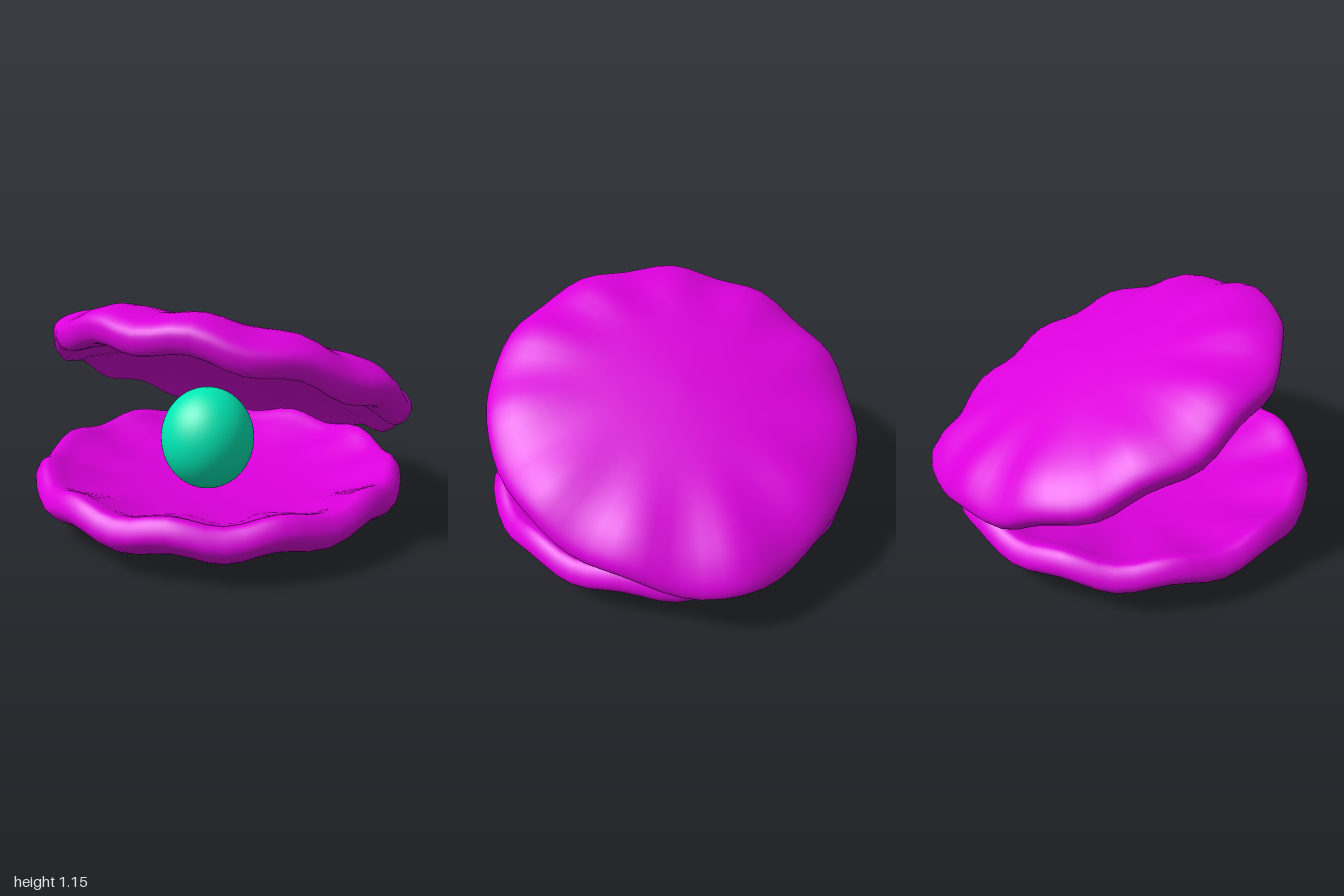
import * as THREE from 'three';
import { mergeVertices } from 'three/addons/utils/BufferGeometryUtils.js';

const RIBS = 11;

// Cross-section of one valve: outer wall from the centre, round lip, shallow inner dish
const PROFILE = [
  [0, 0], [0.3, 0.012], [0.6, 0.04], [0.78, 0.08], [0.89, 0.14], [0.938, 0.2],
  [0.928, 0.255], [0.89, 0.295], [0.84, 0.29], [0.75, 0.25], [0.55, 0.19], [0.3, 0.15], [0, 0.13],
].map(([r, y]) => new THREE.Vector2(r, y));

// Revolved valve with a rippled rim; beak draws the +z edge out to a blunt point
function valveGeometry(beak) {
  const points = new THREE.SplineCurve(PROFILE).getPoints(48);
  points.forEach((p) => { p.x = Math.max(0, p.x); });
  points[0].x = points[points.length - 1].x = 0;
  let geometry = new THREE.LatheGeometry(points, RIBS * 6);
  geometry.deleteAttribute('uv');
  geometry.deleteAttribute('normal');

  const pos = geometry.attributes.position;
  for (let i = 0; i < pos.count; i++) {
    const x = pos.getX(i), y = pos.getY(i), z = pos.getZ(i);
    const r = Math.hypot(x, z);
    const angle = Math.atan2(x, z);
    const fade = THREE.MathUtils.smoothstep(r, 0.4, 0.95);
    const stretch = 1 + beak * fade * Math.exp(-((angle / 0.35) ** 2));
    pos.setXYZ(i, x * stretch, y - 0.022 * fade * Math.cos(RIBS * angle), z * stretch);
  }
  geometry = mergeVertices(geometry, 1e-4);
  geometry.computeVertexNormals();
  return geometry;
}

export function createModel() {
  const model = new THREE.Group();
  model.name = 'clam';
  const shellMaterial = new THREE.MeshStandardMaterial({ color: 0xdc00dc });
  const pearlMaterial = new THREE.MeshStandardMaterial({ color: 0x00e8b4 });

  // Lower valve lies flat
  const lower = new THREE.Mesh(valveGeometry(0), shellMaterial);
  lower.name = 'lowerShell';
  lower.position.set(0, 0, 0.065);
  model.add(lower);

  // Upper valve is flipped over the hinge and tilted open, its beak at the back
  const upper = new THREE.Mesh(valveGeometry(0.085), shellMaterial);
  upper.name = 'upperShell';
  upper.rotation.x = THREE.MathUtils.degToRad(155);
  upper.position.set(0, 0.888, -0.155);
  model.add(upper);

  // Pearl, slightly taller than wide
  const pearl = new THREE.Mesh(new THREE.SphereGeometry(0.24, 48, 32), pearlMaterial);
  pearl.name = 'pearl';
  pearl.scale.y = 1.1;
  pearl.position.set(-0.027, 0.402, 0.13);
  model.add(pearl);

  return model;
}
